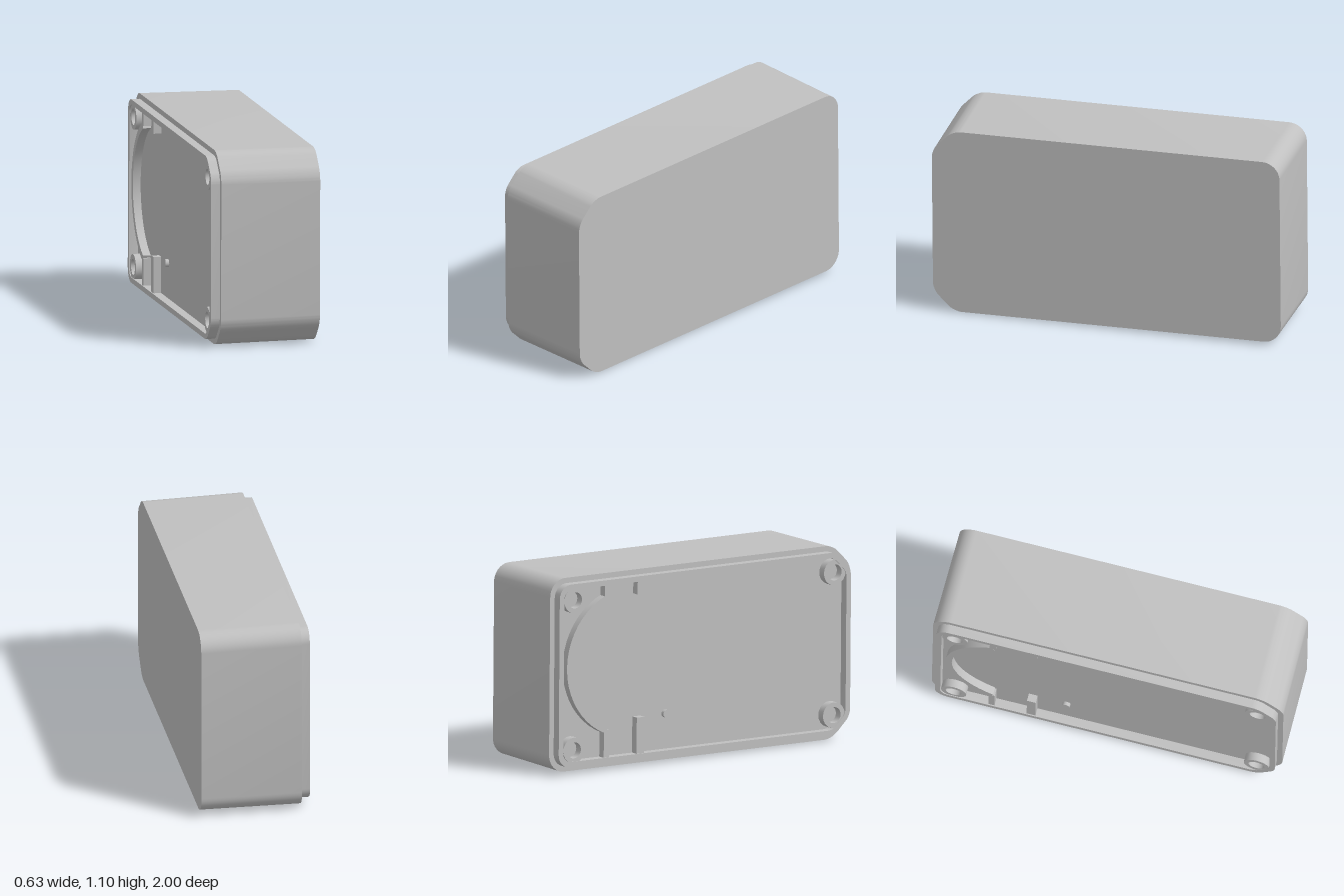
import * as THREE from 'three';
import { toCreasedNormals } from 'three/addons/utils/BufferGeometryUtils.js';

const shellGrey = new THREE.MeshStandardMaterial({ color: 0xc0c0c0 });
shellGrey.name = 'shellGrey';

// Levels across the case: lip top, ledge (also inner floor), closed face
const LIP = -0.308, FLOOR = -0.258, FACE = 0.303;

// Case outline, inset by d. Horizontal axis is -z: chamfers at front, rounds at back.
function outline(d, Type = THREE.Shape) {
  const w = 0.995 - d, h = 0.5425 - d, c = 0.12 - 0.586 * d, r = 0.1 - d * 0.8;
  const f = 0.045 - d * 0.3;
  const corners = [
    [w, -h, r], [w, h, r], [-w + c, h, f], [-w, h - c, f], [-w, -h + c, f], [-w + c, -h, f],
  ];
  const s = new Type();
  corners.forEach(([x, y, t], i) => {
    const n = corners.length;
    const p = new THREE.Vector2(x, y);
    const toward = (q) => new THREE.Vector2(q[0], q[1]).sub(p).setLength(t).add(p);
    const a = toward(corners[(i + n - 1) % n]), b = toward(corners[(i + 1) % n]);
    if (i === 0) s.moveTo(a.x, a.y); else s.lineTo(a.x, a.y);
    // Cubic approximating a round arc
    const k = 0.55;
    const ca = a.clone().lerp(p, k), cb = b.clone().lerp(p, k);
    s.bezierCurveTo(ca.x, ca.y, cb.x, cb.y, b.x, b.y);
  });
  s.closePath();
  return s;
}

// Extrude an outline across the case from x0 to x1, optionally with draft
function slab(shape, x0, x1, draft = 0) {
  const geo = new THREE.ExtrudeGeometry(shape, { depth: x1 - x0, bevelEnabled: false, curveSegments: 10 });
  const p = geo.attributes.position;
  for (let i = 0; i < p.count; i++) {
    const k = draft * p.getZ(i) / (x1 - x0);
    p.setX(i, p.getX(i) * (1 - k / 0.995));
    p.setY(i, p.getY(i) * (1 - k / 0.5425));
  }
  geo.translate(0, 0, x0);
  geo.rotateY(Math.PI / 2);
  return toCreasedNormals(geo, 0.6);
}

export function createModel() {
  const model = new THREE.Group();
  model.name = 'enclosureHalf';
  const add = (name, geo) => {
    const m = new THREE.Mesh(geo, shellGrey);
    m.name = name;
    model.add(m);
    return m;
  };

  // Main body
  add('body', slab(outline(0), FLOOR, FACE, 0.005));

  // Raised lip around the open side
  const lip = outline(0.03);
  lip.holes.push(outline(0.06, THREE.Path));
  add('lip', slab(lip, LIP, FLOOR));

  // Screw bosses in the four corners
  for (const [u, v] of [[-0.86, 0.4], [-0.86, -0.4], [0.86, 0.42], [0.86, -0.42]]) {
    const ring = new THREE.Shape().absarc(u, v, 0.072, 0, Math.PI * 2);
    ring.holes.push(new THREE.Path().absarc(u, v, 0.045, 0, Math.PI * 2, true));
    add('screwBoss', slab(ring, LIP + 0.004, FLOOR));
  }

  // Curved retaining wall near the back
  const a = 1.18, cu = 0.49, cv = 0.04;
  const arc = new THREE.Shape();
  arc.absarc(cu, cv, 0.42, -a, a, false);
  arc.absarc(cu, cv, 0.385, a, -a, true);
  arc.closePath();
  add('curvedWall', slab(arc, LIP + 0.006, FLOOR));

  // Ribs standing on the long walls: centre along z, bottom, top, width
  const ribs = [
    [-0.645, -0.5, -0.33, 0.035], [-0.645, 0.41, 0.5, 0.035],
    [-0.42, -0.5, -0.28, 0.05], [-0.42, 0.41, 0.5, 0.05],
  ];
  for (const [z, v0, v1, width] of ribs) {
    const depth = FLOOR - LIP - 0.006;
    add('rib', new THREE.BoxGeometry(depth, v1 - v0, width))
      .position.set(FLOOR - depth / 2, (v0 + v1) / 2, z);
  }

  // Small locating peg on the floor
  const peg = add('locatingPeg', new THREE.CylinderGeometry(0.022, 0.022, 0.02, 20));
  peg.rotation.z = Math.PI / 2;
  peg.position.set(FLOOR - 0.01, -0.285, -0.23);

  // The case rests very slightly askew
  model.rotation.set(0.0085, -0.0085, 0);
  model.position.y = 0.55;
  const root = new THREE.Group();
  root.name = 'enclosure';
  root.add(model);
  return root;
}
